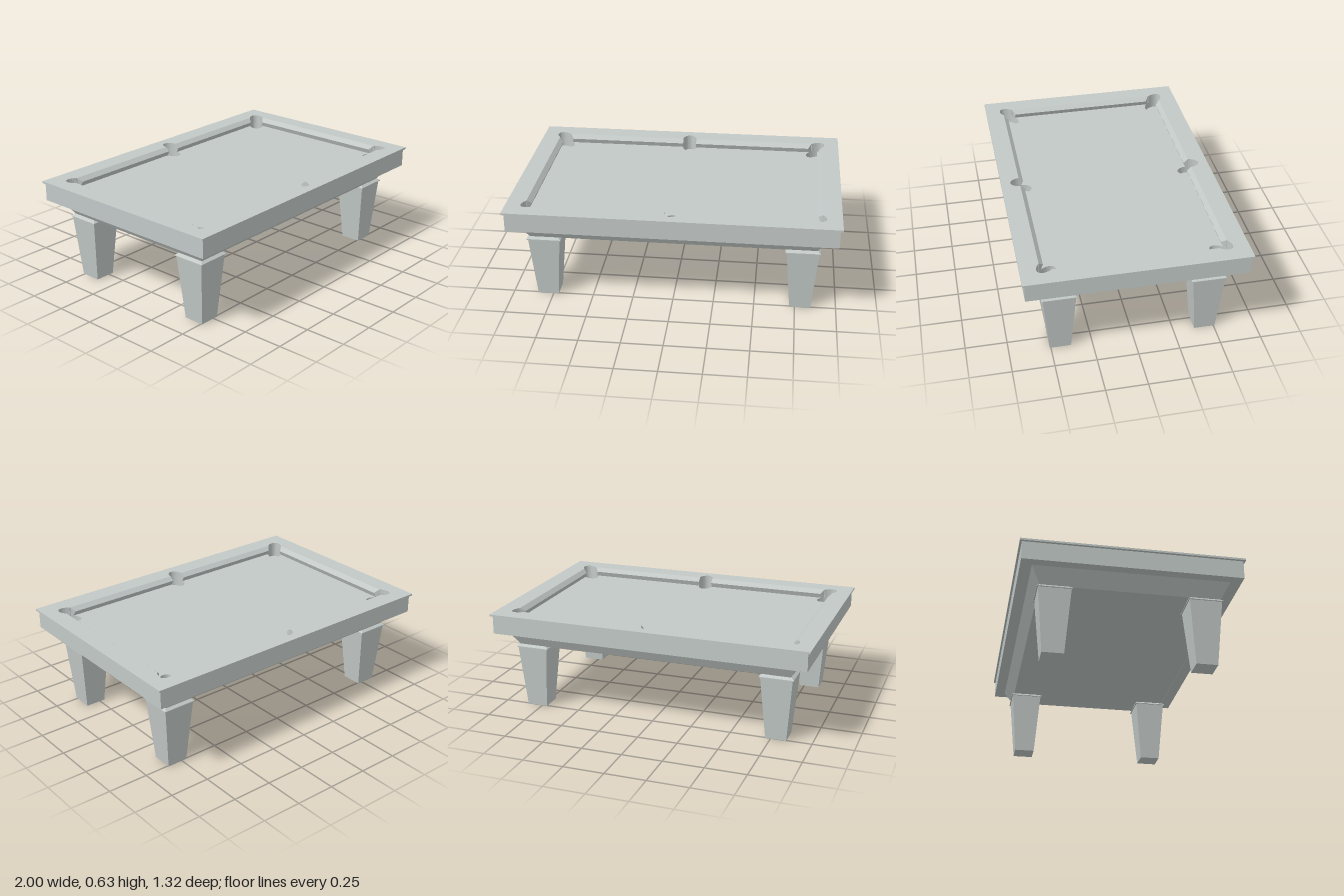
import * as THREE from 'three';

const grey = new THREE.MeshStandardMaterial({ color: 0xc2c9c7 });
grey.name = 'pale grey';

// Opening in the rails (half sizes) and cushion width
const OPEN_X = 0.886, OPEN_Z = 0.546, NOSE = 0.026;

const part = (parent, name, geometry) => {
  const mesh = new THREE.Mesh(geometry, grey);
  mesh.name = name;
  parent.add(mesh);
  return mesh;
};

const flat = (geometry) => {
  const g = geometry.index ? geometry.toNonIndexed() : geometry;
  g.computeVertexNormals();
  return g;
};

// Box whose top and bottom have different half sizes
function frustum(y0, y1, bottomX, bottomZ, topX, topZ) {
  const g = new THREE.BoxGeometry(2, y1 - y0, 2);
  const p = g.attributes.position;
  for (let i = 0; i < p.count; i++) {
    const top = p.getY(i) > 0;
    p.setX(i, p.getX(i) * (top ? topX : bottomX));
    p.setZ(i, p.getZ(i) * (top ? topZ : bottomZ));
  }
  g.translate(0, (y0 + y1) / 2, 0);
  return flat(g);
}

// Rectangular slab with holes, lying flat between two heights
function slab(halfX, halfZ, y0, y1, holes = []) {
  const shape = new THREE.Shape([[-1, -1], [1, -1], [1, 1], [-1, 1]]
    .map(([x, z]) => new THREE.Vector2(x * halfX, z * halfZ)));
  for (const h of holes) shape.holes.push(new THREE.Path(h));
  const g = new THREE.ExtrudeGeometry(shape, { depth: y1 - y0, bevelEnabled: false });
  return g.rotateX(-Math.PI / 2).translate(0, y0, 0);
}

// Oval pocket outline, long axis at the given angle, starting at its inner end
function pocket(cx, cz, angle, halfLength, halfWidth) {
  const pts = [], n = 32;
  for (let i = 0; i < n; i++) {
    const t = Math.PI + (i / n) * Math.PI * 2;
    const a = Math.cos(t) * halfLength, b = Math.sin(t) * halfWidth;
    pts.push(new THREE.Vector2(
      cx + a * Math.cos(angle) - b * Math.sin(angle),
      cz + a * Math.sin(angle) + b * Math.cos(angle)));
  }
  return pts;
}

// Cushion strip running along x from a to b; its ends slant by ka and kb
function cushion(dist, a, b, ka, kb) {
  const profile = new THREE.Shape([[0, 0.605], [0.012, 0.575], [NOSE, 0.575], [NOSE, 0.63]]
    .map(([u, y]) => new THREE.Vector2(u, y)));
  const g = new THREE.ExtrudeGeometry(profile, { depth: 1, bevelEnabled: false });
  const p = g.attributes.position;
  for (let i = 0; i < p.count; i++) {
    const u = p.getX(i), t = p.getZ(i);
    p.setX(i, THREE.MathUtils.lerp(b + kb * u, a + ka * u, t));
    p.setZ(i, dist + u);
  }
  return flat(g);
}

export function createModel() {
  const table = new THREE.Group();
  table.name = 'poolTable';

  // Six pockets, counter-clockwise from the corner at +x +z
  const pockets = [[1, 1], [0, 1], [-1, 1], [-1, -1], [0, -1], [1, -1]].map(([sx, sz]) =>
    sx ? pocket(sx * 0.848, sz * 0.508, Math.atan2(sz, sx), 0.072, 0.045)
      : pocket(0, sz * 0.538, sz * Math.PI / 2, 0.066, 0.045));

  // Rail opening: a rectangle bulging outward at each pocket
  const opening = [];
  const clampIn = (v) => new THREE.Vector2(
    THREE.MathUtils.clamp(v.x, -OPEN_X, OPEN_X), THREE.MathUtils.clamp(v.y, -OPEN_Z, OPEN_Z));
  for (const pts of pockets) {
    const out = pts.filter((v) => Math.abs(v.x) > OPEN_X || Math.abs(v.y) > OPEN_Z);
    opening.push(clampIn(out[0]), ...out, clampIn(out[out.length - 1]));
  }

  // Body from the top down
  part(table, 'railTop', slab(1, 0.662, 0.618, 0.63, [opening]));
  part(table, 'railBody', slab(0.985, 0.65, 0.575, 0.618, [opening]));
  part(table, 'playingBed', slab(0.985, 0.65, 0.53, 0.575, pockets));
  part(table, 'pocketFloor', slab(0.985, 0.65, 0.505, 0.53));
  part(table, 'underFrame', frustum(0.413, 0.505, 0.866, 0.53, 0.925, 0.583));

  // Cushions between the pockets
  const cushions = new THREE.Group();
  cushions.name = 'cushions';
  table.add(cushions);
  for (const turn of [0, Math.PI]) {
    const nz = OPEN_Z - NOSE, nx = OPEN_X - NOSE;
    part(cushions, 'longCushion', cushion(nz, 0.044, 0.801, 0, 0.8)).rotation.y = turn;
    part(cushions, 'longCushion', cushion(nz, -0.801, -0.044, -0.8, 0)).rotation.y = turn;
    part(cushions, 'shortCushion', cushion(nx, -0.461, 0.461, -0.8, 0.8)).rotation.y = turn + Math.PI / 2;
  }

  // Tapered legs with a flared collar
  for (const sx of [-1, 1]) for (const sz of [-1, 1]) {
    const leg = new THREE.Group();
    leg.name = 'leg';
    leg.position.set(sx * 0.782, 0, sz * 0.443);
    part(leg, 'legPost', frustum(0, 0.396, 0.064, 0.064, 0.097, 0.097));
    part(leg, 'legCollar', frustum(0.396, 0.401, 0.104, 0.104, 0.104, 0.104));
    part(leg, 'legCollarTop', frustum(0.401, 0.414, 0.104, 0.104, 0.088, 0.088));
    table.add(leg);
  }
  return table;
}
